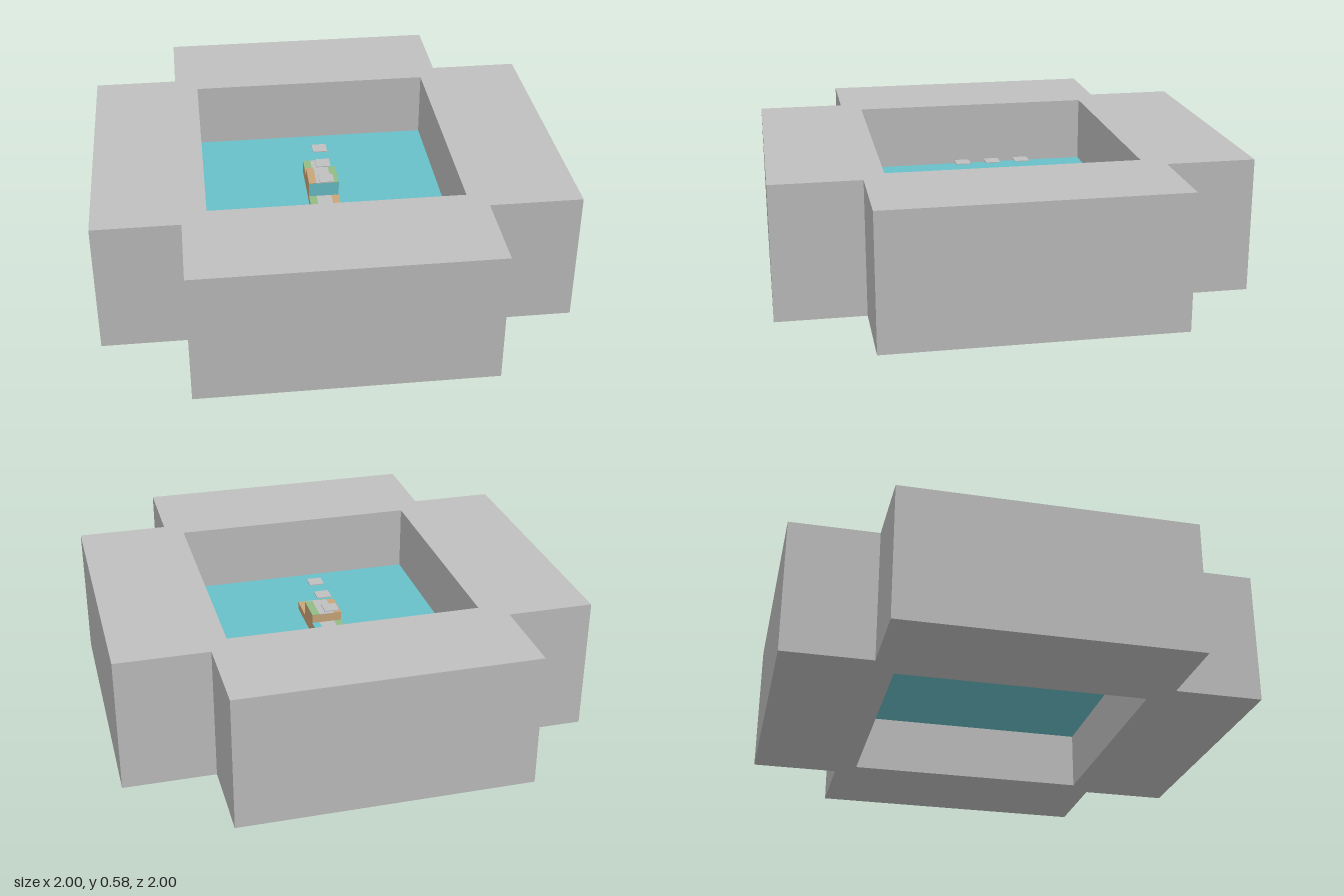
import * as THREE from 'three';

const mat = (name, color) => {
  const m = new THREE.MeshStandardMaterial({ color });
  m.name = name;
  return m;
};

export function createModel() {
  const model = new THREE.Group();
  const grey = mat('stone grey', 0xbfbfbf);
  const teal = mat('floor teal', 0x69c0c9);
  const orange = mat('tan orange', 0xcaa67a);
  const green = mat('soft green', 0x93bb86);

  const box = (name, material, w, h, d, x, y, z, parent = model) => {
    const mesh = new THREE.Mesh(new THREE.BoxGeometry(w, h, d), material);
    mesh.name = name;
    mesh.position.set(x, y, z);
    parent.add(mesh);
    return mesh;
  };

  // Cross-shaped surrounding walls with a square opening
  const H = 0.578, L = -0.635, R = 0.61, Z = 0.622, O = 0.532;
  const outline = [
    [L, -1], [R, -1], [R, -Z], [1, -Z], [1, Z], [R, Z],
    [R, 1], [L, 1], [L, Z], [-1, Z], [-1, -Z], [L, -Z],
  ];
  const shape = new THREE.Shape(outline.map(([x, y]) => new THREE.Vector2(x, y)));
  const hole = [[-O, -O], [-O, O], [O, O], [O, -O]];
  shape.holes.push(new THREE.Path(hole.map(([x, y]) => new THREE.Vector2(x, y))));
  const wallGeometry = new THREE.ExtrudeGeometry(shape, { depth: H, bevelEnabled: false });
  wallGeometry.rotateX(-Math.PI / 2);
  const walls = new THREE.Mesh(wallGeometry, grey);
  walls.name = 'surroundingWalls';
  model.add(walls);

  // Raised floor slab inside the opening
  const floorTop = 0.288;
  box('floor', teal, 2 * O, 0.033, 2 * O, 0, floorTop - 0.0165, 0);

  // Three stepped blocks, each with a two-tone top, a central strip and a plate above
  const size = 0.133, strip = 0.066, side = (size - strip) / 2, skin = 0.003;
  const steps = [
    { name: 'backStep', z: -0.135, h: 0.06, left: green, right: teal },
    { name: 'middleStep', z: -0.003, h: 0.1, left: orange, right: green },
    { name: 'frontStep', z: 0.13, h: 0.033, left: green, right: orange },
  ];
  for (const s of steps) {
    const step = new THREE.Group();
    step.name = s.name;
    step.position.set(-0.002, floorTop, s.z);
    model.add(step);
    const h = s.h - skin, y = s.h - skin / 2, offset = (strip + side) / 2;
    // material order: +x, -x, +y, -y, +z, -z
    box('stepBody', [orange, orange, grey, grey, teal, orange], size, h, size, 0, h / 2, 0, step);
    box('leftTop', s.right, side, skin, size, offset, y, 0, step);
    box('rightTop', s.left, side, skin, size, -offset, y, 0, step);
    box('centreStrip', grey, strip, skin, size, 0, y, 0, step);
    box('hoveringPlate', grey, 0.064, 0.004, 0.064, 0.002, 0.45 - floorTop, 0, step);
  }
  return model;
}
